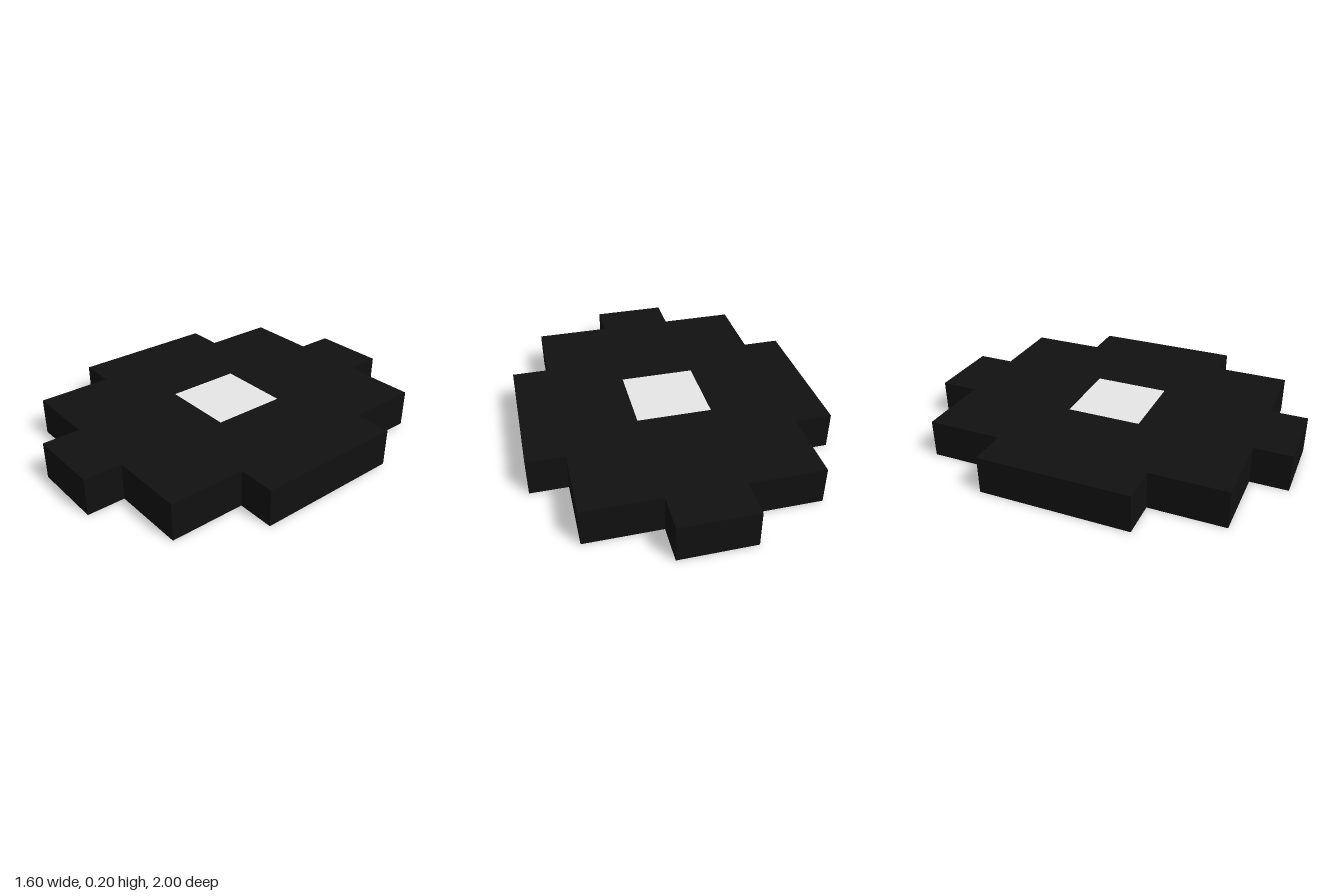
import * as THREE from 'three';

const HEIGHT = 0.2;

// Extrudes a ground-plan shape upward from y = 0
function slab(name, shape, material) {
  const geometry = new THREE.ExtrudeGeometry(shape, { depth: HEIGHT, bevelEnabled: false });
  geometry.rotateX(-Math.PI / 2);
  const mesh = new THREE.Mesh(geometry, material);
  mesh.name = name;
  return mesh;
}

export function createModel() {
  const group = new THREE.Group();
  group.name = 'steppedTile';

  const black = new THREE.MeshStandardMaterial({ color: 0x111111 });
  black.name = 'black';
  const lightGrey = new THREE.MeshStandardMaterial({ color: 0xe6e6e6 });
  lightGrey.name = 'light grey';

  // Stepped outline: one quarter, mirrored to the other three
  const quarter = [[0.8, 0.4], [0.6, 0.4], [0.6, 0.8], [0.2, 0.8], [0.2, 1]];
  const mirrored = (sx, sy) => quarter.map(([x, y]) => new THREE.Vector2(x * sx, y * sy));
  const outline = [
    ...mirrored(1, 1),
    ...mirrored(-1, 1).reverse(),
    ...mirrored(-1, -1),
    ...mirrored(1, -1).reverse(),
  ];

  // Square core that shows on the top and the underside
  const square = [[-0.2, -0.2], [0.2, -0.2], [0.2, 0.2], [-0.2, 0.2]]
    .map(([x, y]) => new THREE.Vector2(x, y));

  const body = new THREE.Shape(outline);
  body.holes.push(new THREE.Path(square));

  group.add(slab('body', body, black));
  group.add(slab('core', new THREE.Shape(square), lightGrey));
  return group;
}
